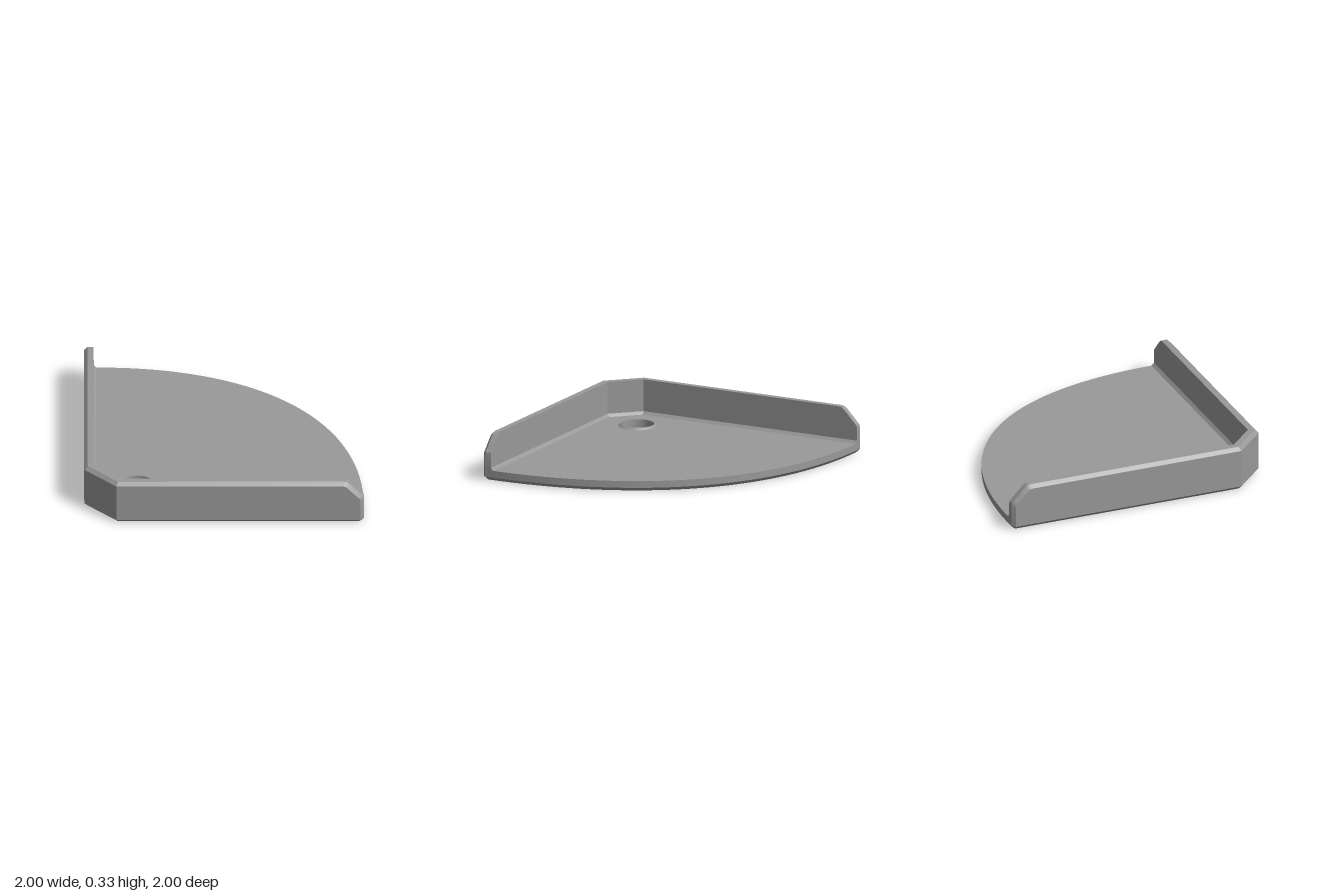
import * as THREE from 'three';
import { toCreasedNormals } from 'three/addons/utils/BufferGeometryUtils.js';

const FLOOR = 0.075, BEVEL = 0.025;
const HOLE = { x: -0.62, z: 0.62, inner: 0.12, outer: 0.137 };
const V = (x, y, z) => new THREE.Vector3(x, y, z);

// Skin a list of equal-length sections, skipping collapsed triangles
function loft(sections, crease = 0.4) {
  const pos = [];
  const tri = (a, b, c) => {
    const area = b.clone().sub(a).cross(c.clone().sub(a)).length();
    if (area > 1e-9) for (const p of [a, b, c]) pos.push(p.x, p.y, p.z);
  };
  for (let i = 0; i < sections.length - 1; i++) {
    const s = sections[i], t = sections[i + 1];
    for (let j = 0; j < s.length - 1; j++) {
      tri(s[j], t[j], t[j + 1]);
      tri(s[j], t[j + 1], s[j + 1]);
    }
  }
  const g = new THREE.BufferGeometry();
  g.setAttribute('position', new THREE.Float32BufferAttribute(pos, 3));
  return toCreasedNormals(g, crease);
}

// Mirror across the tray's diagonal, swapping the two walls
const mirror = (p) => V(-p.z, p.y, -p.x);
// Where the clipped corner starts, for a line inset by d
const cornerStart = (d) => -(0.77 - d * Math.tan(Math.PI / 8));

// Plate outline inset by d: side wall, clipped corner, front wall, curved edge
function outline(d) {
  const half = [
    V(cornerStart(d), 0, 1 - d),
    V(0.975 - d * 0.4, 0, 1 - d),
    V(1 - d, 0, 0.975 - d * 0.4),
  ];
  const k = 1.187 - 0.55 * d;
  const curve = new THREE.CubicBezierCurve3(
    V(1 - d, 0, 0.91), V(1 - d, 0, 0.91 - k), V(-0.91 + k, 0, -1 + d), V(-0.91, 0, -1 + d));
  return [...half.map(mirror).reverse(), ...half, ...curve.getPoints(64)];
}

// Flat face of the plate with the round hole
function face(points, y, up) {
  const sign = up ? -1 : 1;
  const shape = new THREE.Shape(points.map((p) => new THREE.Vector2(p.x, sign * p.z)));
  const hole = new THREE.Path();
  hole.absarc(HOLE.x, sign * HOLE.z, HOLE.outer, 0, Math.PI * 2, true);
  shape.holes.push(hole);
  return new THREE.ShapeGeometry(shape, 24).rotateX(sign * Math.PI / 2).translate(0, y, 0);
}

// Bevelled rim of the plate
function plateRim() {
  const low = outline(BEVEL), full = outline(0);
  const sections = full.map((p, i) => [
    low[i], V(p.x, BEVEL, p.z), V(p.x, FLOOR, p.z),
  ]);
  return loft([...sections, sections[0]]);
}

// Hole lining: countersunk below, with a small raised lip above
function holeLining() {
  const profile = [[HOLE.outer, 0], [HOLE.inner, 0.015], [HOLE.inner, 0.09], [HOLE.outer, FLOOR]];
  const sections = [];
  for (let i = 0; i <= 48; i++) {
    const a = (i / 48) * Math.PI * 2;
    sections.push(profile.map(([r, y]) => V(HOLE.x - r * Math.sin(a), y, HOLE.z + r * Math.cos(a))));
  }
  return loft(sections);
}

// L-shaped wall with clipped corner, sloped ends and a fillet along the floor
function wallGeometry() {
  const section = (s, top, outerS, outerTop) => [
    [0, FLOOR, outerS], [0, outerTop, outerS], [0.025, top, s],
    [0.07, top, s], [0.07, 0.095, s], [0.09, FLOOR, s],
  ].map(([d, y, x]) => V(x ?? cornerStart(d), y, 1 - d));
  // position and height of the inner, then of the outer edge
  const ends = [
    [0.85, 0.33, 0.845, 0.305], [0.875, 0.325, 0.862, 0.302], [0.895, 0.31, 0.877, 0.292],
    [0.975, 0.225, 0.957, 0.21], [0.994, 0.205, 0.97, 0.196], [1, 0.18, 0.975, 0.18],
  ];
  const half = [section(null, 0.33, null, 0.305), ...ends.map((e) => section(...e))];
  half.push(new Array(6).fill(V(1, FLOOR, 0.975))); // closes the end
  return loft([...half.map((s) => s.map(mirror)).reverse(), ...half]);
}

export function createModel() {
  const grey = new THREE.MeshStandardMaterial({ color: 0x999999 });
  grey.name = 'grey';
  const group = new THREE.Group();
  group.name = 'cornerTray';
  const add = (name, geometry) => {
    const mesh = new THREE.Mesh(geometry, grey);
    mesh.name = name;
    group.add(mesh);
  };
  add('floor', face(outline(0), FLOOR, true));
  add('underside', face(outline(BEVEL), 0, false));
  add('plateRim', plateRim());
  add('holeLining', holeLining());
  add('cornerWall', wallGeometry());
  return group;
}
